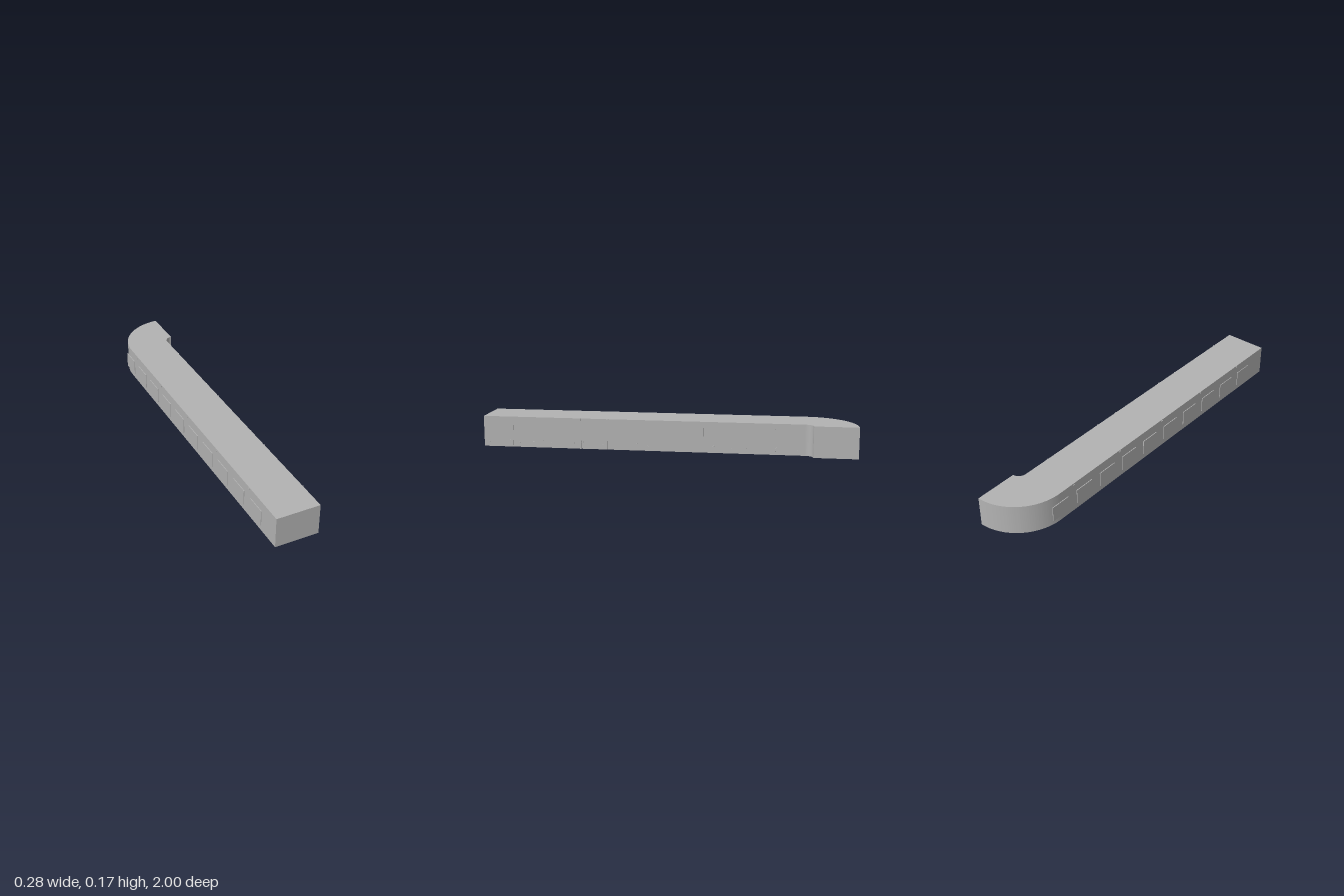
import * as THREE from 'three';

export function createModel() {
  const model = new THREE.Group();
  const grey = new THREE.MeshStandardMaterial({ color: 0xb3b3b3 });
  grey.name = 'plain grey';

  const height = 0.165, left = -0.137, right = 0.095, tip = 0.138, bend = 0.727;

  function box(name, w, h, d, x, y, z, parent = model) {
    const mesh = new THREE.Mesh(new THREE.BoxGeometry(w, h, d), grey);
    mesh.name = name;
    mesh.position.set(x, y, z);
    parent.add(mesh);
    return mesh;
  }

  // Long corridor that turns through a quarter circle at the back
  const plan = new THREE.Shape();
  plan.moveTo(left, -1);
  plan.lineTo(right, -1);
  plan.lineTo(right, bend);
  plan.absarc(tip, bend, tip - right, Math.PI, Math.PI / 2, true);
  plan.lineTo(tip, 1);
  plan.absarc(tip, bend, 1 - bend, Math.PI / 2, Math.PI, false);
  plan.lineTo(left, -1);
  const bodyGeometry = new THREE.ExtrudeGeometry(plan, { depth: height, bevelEnabled: false, curveSegments: 24 });
  bodyGeometry.rotateX(-Math.PI / 2);
  const body = new THREE.Mesh(bodyGeometry, grey);
  body.name = 'corridorBody';
  model.add(body);

  // Row of thin panels along the outer wall
  for (let i = 0; i < 10; i++) {
    box('wallPanel', 0.004, 0.084, 0.11, left - 0.001, 0.071, 0.81 - i * 0.171);
  }

  // Small fittings under the roof edge
  for (let i = 0; i < 5; i++) {
    box('wallFitting', 0.004, 0.008, 0.008, left - 0.001, 0.157, 0.74 - i * 0.342);
  }

  // Slim full-height posts, in pairs, along the inner wall
  for (const z of [0.84, 0.465, 0.32, -0.05, -0.195, -0.57]) {
    box('wallPost', 0.004, height, 0.007, right + 0.001, height / 2, z);
  }

  // Tiny fittings low on the inner wall, each a few thin crossing pieces
  const spots = [0.97, 0.89, 0.85, 0.8, 0.72, 0.67, 0.62, 0.5, 0.45, 0.34, 0.27,
    0.16, 0.1, -0.17, -0.25, -0.35, -0.42, -0.58, -0.69];
  spots.forEach((z, i) => {
    const cluster = new THREE.Group();
    cluster.name = 'lowFitting';
    cluster.position.set(right + 0.007, 0.026 + (i % 3) * 0.005, z);
    box('fittingStem', 0.016, 0.002, 0.003, 0, 0, 0, cluster);
    box('fittingHead', 0.004, 0.005, 0.012, 0.007, 0.002, 0, cluster).rotation.x = 0.4 * ((i % 3) - 1);
    model.add(cluster);
  });

  return model;
}
